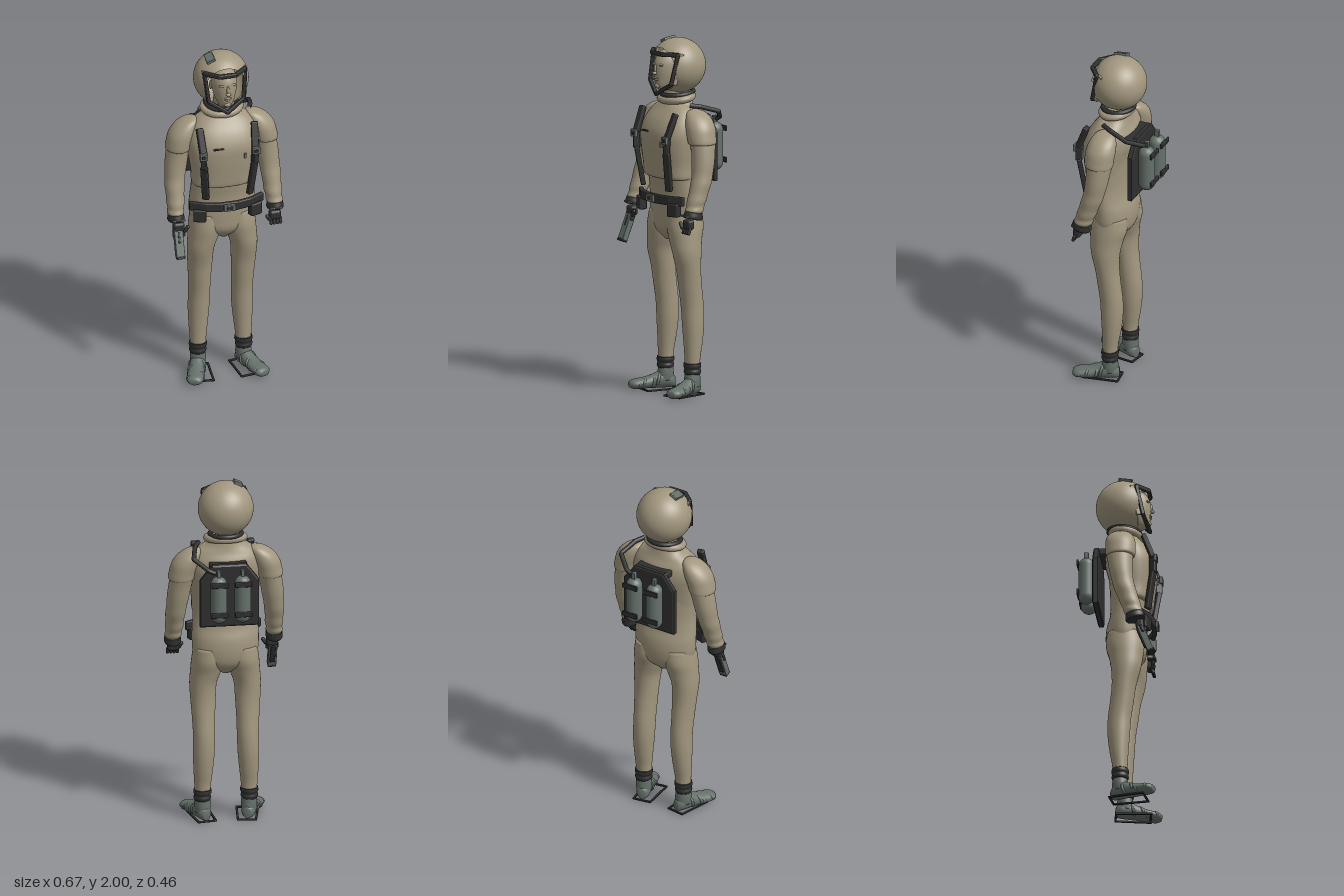
import * as THREE from 'three';
import { RoundedBoxGeometry } from 'three/addons/geometries/RoundedBoxGeometry.js';

const mat = (name, color) => Object.assign(new THREE.MeshStandardMaterial({ color }), { name });
const V = (x, y, z) => new THREE.Vector3(x, y, z);

// Smooth tube through rings [y, centreX, centreZ, radiusX, radiusZ]; power < 1 squares the outline
function loft(rings, { sides = 32, per = 5, power = 1 } = {}) {
  const mid = new THREE.CatmullRomCurve3(rings.map(r => V(r[1], r[0], r[2])), false, 'catmullrom');
  const rad = new THREE.CatmullRomCurve3(rings.map(r => V(r[3], r[4], 0)), false, 'catmullrom');
  const n = (rings.length - 1) * per, pos = [], idx = [];
  const bend = v => Math.sign(v) * Math.abs(v) ** power;
  for (let i = 0; i <= n; i++) {
    const c = mid.getPoint(i / n), r = rad.getPoint(i / n);
    for (let j = 0; j < sides; j++) {
      const a = j / sides * Math.PI * 2;
      pos.push(c.x + r.x * bend(Math.cos(a)), c.y, c.z + r.y * bend(Math.sin(a)));
    }
  }
  for (let i = 0; i < n; i++) for (let j = 0; j < sides; j++) {
    const k = (j + 1) % sides, a = i * sides + j, b = i * sides + k;
    idx.push(a, a + sides, b, b, a + sides, b + sides);
  }
  // end caps
  const low = mid.getPoint(0), high = mid.getPoint(1), m = (n + 1) * sides;
  pos.push(low.x, low.y, low.z, high.x, high.y, high.z);
  for (let j = 0; j < sides; j++) {
    const k = (j + 1) % sides;
    idx.push(m, j, k, m + 1, n * sides + k, n * sides + j);
  }
  const g = new THREE.BufferGeometry();
  g.setAttribute('position', new THREE.Float32BufferAttribute(pos, 3));
  g.setIndex(idx);
  g.computeVertexNormals();
  return g;
}

export function createModel() {
  const root = new THREE.Group();
  const suit = mat('suitBeige', 0xa2977f), dark = mat('gearBlack', 0x2f2f2f), grey = mat('metalGreyGreen', 0x65706a);
  const shell = mat('helmetBeige', 0xa2977f);
  shell.side = THREE.DoubleSide;

  const add = (name, geo, m, x = 0, y = 0, z = 0, parent = root) => {
    const mesh = new THREE.Mesh(geo, m);
    mesh.name = name;
    mesh.position.set(x, y, z);
    parent.add(mesh);
    return mesh;
  };
  const box = (w, h, d, r = 0.004) => new RoundedBoxGeometry(w, h, d, 2, r);
  // Chain of bars along a path
  const bars = (name, m, pts, w, h, extra = 0.01) => {
    for (let i = 1; i < pts.length; i++) {
      const a = V(...pts[i - 1]), b = V(...pts[i]);
      const c = a.clone().add(b).multiplyScalar(0.5);
      add(name, box(w, h, a.distanceTo(b) + extra, Math.min(w, h) * 0.25), m, c.x, c.y, c.z).lookAt(b);
    }
  };

  // Body
  add('torso', loft([[0.87, 0, 0.045, 0.03, 0.05], [0.93, 0, 0.038, 0.15, 0.1], [1, 0, 0.033, 0.183, 0.113],
    [1.08, 0, 0.035, 0.188, 0.113], [1.15, 0, 0.045, 0.185, 0.105], [1.22, 0, 0.053, 0.18, 0.108],
    [1.3, 0, 0.058, 0.185, 0.115], [1.4, 0, 0.062, 0.2, 0.126], [1.48, 0, 0.052, 0.215, 0.134],
    [1.55, 0, 0.04, 0.205, 0.12], [1.6, 0, 0.03, 0.17, 0.09], [1.64, 0, 0.02, 0.105, 0.07], [1.7, 0, 0.02, 0.07, 0.06]]), suit);
  add('chestVest', loft([[1.225, 0, 0.08, 0.165, 0.08], [1.235, 0, 0.075, 0.183, 0.105], [1.3, 0, 0.072, 0.186, 0.117],
    [1.4, 0, 0.07, 0.2, 0.13], [1.48, 0, 0.062, 0.205, 0.138], [1.55, 0, 0.05, 0.19, 0.122],
    [1.61, 0, 0.04, 0.15, 0.088], [1.65, 0, 0.03, 0.08, 0.07]], { power: 0.85 }), suit);
  add('chestSlot', box(0.06, 0.008, 0.012, 0.002), dark, -0.06, 1.485, 0.197);
  add('chestTag', box(0.014, 0.03, 0.016, 0.002), grey, 0.092, 1.425, 0.194);

  // Helmet shell with face opening
  const helmet = add('helmetShell', new THREE.SphereGeometry(0.155, 48, 32, 0, Math.PI * 2, 0.88, Math.PI - 0.88), shell, 0, 1.845, 0.018);
  helmet.rotation.x = Math.PI / 2 + 0.12;
  const lamp = add('helmetLamp', box(0.05, 0.02, 0.075), grey, -0.07, 1.983, 0.037);
  lamp.rotation.set(0.15, 0, 0.4);

  // Visor frame: black bars with a beige backing
  const post = [[0.118, 1.925, 0.1], [0.102, 1.76, 0.135], [0, 1.695, 0.165]];
  const brow = [[-0.118, 1.925, 0.1], [-0.045, 1.925, 0.162], [0.045, 1.925, 0.162], [0.118, 1.925, 0.1]];
  bars('visorBrow', dark, brow, 0.022, 0.024);
  for (const s of [1, -1]) {
    bars('visorSide', dark, post.map(p => [p[0] * s, p[1], p[2]]), 0.02, 0.022);
    bars('visorBacking', suit, post.slice(0, 2).map(p => [p[0] * s, p[1], p[2] - 0.022]), 0.014, 0.03);
  }

  // Head
  add('head', loft([[1.715, 0, 0.1, 0.025, 0.04], [1.735, 0, 0.1, 0.042, 0.062], [1.78, 0, 0.09, 0.06, 0.079],
    [1.83, 0, 0.085, 0.07, 0.086], [1.88, 0, 0.075, 0.07, 0.09], [1.925, 0, 0.065, 0.052, 0.072], [1.945, 0, 0.06, 0.02, 0.03]]), suit);
  add('neck', new THREE.CylinderGeometry(0.05, 0.055, 0.14, 24), suit, 0, 1.69, 0.05);
  const ball = new THREE.SphereGeometry(1, 16, 12);
  const blob = (name, m, p, r) => add(name, ball, m, ...p).scale.set(...r);
  blob('noseBridge', suit, [0, 1.835, 0.168], [0.009, 0.03, 0.012]);
  blob('noseTip', suit, [0, 1.815, 0.176], [0.014, 0.01, 0.014]);
  blob('upperLip', suit, [0, 1.786, 0.168], [0.022, 0.006, 0.008]);
  blob('lowerLip', suit, [0, 1.776, 0.166], [0.019, 0.007, 0.008]);
  blob('chin', suit, [0, 1.743, 0.158], [0.02, 0.016, 0.014]);
  for (const s of [1, -1]) {
    blob('browRidge', suit, [0.028 * s, 1.862, 0.155], [0.022, 0.007, 0.01]);
    blob('eye', suit, [0.028 * s, 1.842, 0.152], [0.014, 0.007, 0.008]);
    blob('ear', suit, [0.072 * s, 1.83, 0.065], [0.008, 0.028, 0.016]);
  }

  // Collar
  const collar = add('collarRoll', new THREE.TorusGeometry(0.1, 0.02, 14, 40), suit, 0, 1.668, 0.03);
  collar.rotation.x = Math.PI / 2 + 0.15;
  collar.scale.set(1.03, 0.85, 1);
  const seal = add('collarSeal', new THREE.TorusGeometry(0.088, 0.013, 12, 40), dark, 0, 1.692, 0.022);
  seal.rotation.x = Math.PI / 2 + 0.1;

  for (const s of [1, -1]) {
    const side = rings => rings.map(r => [r[0], r[1] * s, ...r.slice(2)]);
    // Legs
    add('leg', loft(side([[0.15, 0.13, 0.012, 0.043, 0.04], [0.22, 0.13, 0.01, 0.047, 0.044], [0.3, 0.128, 0.005, 0.054, 0.053],
      [0.4, 0.125, 0.003, 0.06, 0.062], [0.5, 0.123, 0.007, 0.061, 0.065], [0.6, 0.124, 0.02, 0.064, 0.066],
      [0.7, 0.125, 0.032, 0.07, 0.068], [0.8, 0.124, 0.043, 0.076, 0.082], [0.88, 0.108, 0.042, 0.087, 0.094],
      [0.95, 0.097, 0.036, 0.092, 0.106], [1.03, 0.088, 0.033, 0.09, 0.1]])), suit);
    add('ankleCuff', loft(side([[0.12, 0.132, 0.012, 0.044, 0.044], [0.135, 0.132, 0.012, 0.049, 0.048], [0.15, 0.132, 0.012, 0.045, 0.045],
      [0.165, 0.131, 0.012, 0.051, 0.049], [0.183, 0.131, 0.012, 0.049, 0.047]])), dark);

    // Boots, turned outwards
    const boot = new THREE.Group();
    boot.name = 'boot';
    boot.position.set(0.128 * s, 0, 0.005);
    boot.rotation.y = 0.36 * s;
    root.add(boot);
    add('bootFoot', loft([[-0.045, 0, -0.04, 0.02, 0.03], [-0.02, 0, -0.048, 0.038, 0.042], [0.03, 0, -0.055, 0.042, 0.05],
      [0.08, 0, -0.045, 0.043, 0.04], [0.13, 0, -0.037, 0.047, 0.032], [0.19, 0, -0.032, 0.045, 0.027],
      [0.215, 0, -0.03, 0.025, 0.016]]).rotateX(Math.PI / 2), grey, 0, 0, 0, boot);
    add('bootShaft', loft([[0.05, 0, 0.01, 0.042, 0.05], [0.09, 0, 0.008, 0.045, 0.046], [0.14, 0, 0.005, 0.041, 0.04]]), grey, 0, 0, 0, boot);
    [[0.05, 0.052, 0.9], [0.09, 0.044, 0.75], [0.13, 0.037, 0.62], [0.17, 0.034, 0.55]].forEach(([z, y, flat], i) => {
      const wrap = add('bootWrap', new THREE.TorusGeometry(0.044, 0.008, 8, 28), grey, 0, y, z, boot);
      wrap.scale.y = flat;
      wrap.rotation.set(-0.25, i % 2 ? 0.2 : -0.2, 0);
    });
    // Open sole frame under the boot
    const sole = [[-0.05, -0.045], [0.05, -0.045], [0.06, 0.15], [-0.06, 0.15], [-0.05, -0.045]];
    bars('soleFrame', dark, sole.map(([x, z]) => {
      const p = V(x, 0, z).applyAxisAngle(V(0, 1, 0), 0.15 * s);
      return [p.x + 0.118 * s, 0.006, p.z + 0.006];
    }), 0.012, 0.01, 0.01);

    // Arms with creased sleeves
    add('sleeve', loft(side([[1.055, 0.285, 0.11, 0.038, 0.045], [1.075, 0.284, 0.103, 0.047, 0.054], [1.1, 0.282, 0.095, 0.045, 0.052],
      [1.13, 0.28, 0.085, 0.051, 0.056], [1.17, 0.279, 0.072, 0.051, 0.056], [1.22, 0.277, 0.055, 0.056, 0.06],
      [1.27, 0.272, 0.042, 0.057, 0.06], [1.33, 0.265, 0.032, 0.062, 0.064], [1.4, 0.255, 0.025, 0.064, 0.069],
      [1.47, 0.24, 0.02, 0.066, 0.076], [1.54, 0.215, 0.018, 0.068, 0.075], [1.6, 0.185, 0.018, 0.04, 0.045]])), suit);
    add('shoulderPad', loft(side([[1.435, 0.249, 0.026, 0.06, 0.07], [1.442, 0.249, 0.026, 0.073, 0.081], [1.48, 0.241, 0.026, 0.075, 0.084],
      [1.53, 0.225, 0.023, 0.077, 0.084], [1.575, 0.203, 0.02, 0.066, 0.073], [1.605, 0.18, 0.02, 0.045, 0.052], [1.62, 0.165, 0.02, 0.015, 0.02]])), suit);
    const cuff = add('gloveCuff', loft([[-0.02, 0, 0, 0.044, 0.053], [-0.008, 0, 0, 0.048, 0.057], [0.02, 0, 0, 0.044, 0.052]]), dark, 0.285 * s, 1.046, 0.112);
    cuff.rotation.x = -0.2;
    add('cuffStrap', box(0.074, 0.012, 0.012), grey, 0.28 * s, 1.045, 0.161);

    // Gloved hands
    add('palm', box(0.066, 0.055, 0.045, 0.015), dark, 0.277 * s, 0.997, 0.138);
    for (let i = 0; i < 4; i++) {
      const f = add('finger', new THREE.CapsuleGeometry(0.0095, 0.026, 4, 10), dark, (0.252 + i * 0.018) * s, 0.963, 0.152);
      f.rotation.x = -0.35;
    }
    const thumb = add('thumb', new THREE.CapsuleGeometry(0.011, 0.026, 4, 10), dark, 0.236 * s, 0.988, 0.158);
    thumb.rotation.z = 0.6 * s;

    // Chest straps and pouches
    bars('chestStrap', dark, [[0.158 * s, 1.6, 0.145], [0.15 * s, 1.47, 0.195], [0.146 * s, 1.38, 0.197], [0.126 * s, 1.17, 0.165]], 0.04, 0.028);
    add('strapBuckle', box(0.046, 0.042, 0.02), grey, 0.151 * s, 1.458, 0.212);
    add('strapBuckleInset', box(0.024, 0.02, 0.006, 0.002), dark, 0.151 * s, 1.458, 0.221);
    add('beltPouch', box(0.072, 0.075, 0.045, 0.008), dark, 0.158 * s, 1.062, 0.155).rotation.y = 0.35 * s;

    // Air tanks
    add('airTank', new THREE.CapsuleGeometry(0.046, 0.185, 10, 28), grey, 0.067 * s, 1.378, -0.183);
    add('tankValve', box(0.022, 0.045, 0.028), grey, 0.067 * s, 1.528, -0.183);
    for (const y of [1.478, 1.3]) {
      add('tankClamp', box(0.096, 0.03, 0.013), dark, 0.067 * s, y, -0.229);
    }
  }

  // Front belt
  bars('belt', dark, [[-0.205, 1.113, 0.125], [-0.13, 1.113, 0.168], [-0.05, 1.113, 0.187], [0.05, 1.113, 0.187],
    [0.13, 1.113, 0.168], [0.205, 1.113, 0.125]], 0.025, 0.052);
  add('beltBuckle', box(0.068, 0.04, 0.018), grey, 0, 1.113, 0.206);
  add('beltBuckleInset', box(0.036, 0.02, 0.006, 0.002), dark, 0, 1.113, 0.214);

  // Backpack plate with clipped top corners
  const plate = new THREE.Shape([[-0.155, 1.21], [0.155, 1.21], [0.155, 1.47], [0.09, 1.555], [-0.09, 1.555], [-0.155, 1.47]]
    .map(p => new THREE.Vector2(...p)));
  add('backPlate', new THREE.ExtrudeGeometry(plate, { depth: 0.024, bevelThickness: 0.006, bevelSize: 0.01, bevelSegments: 1 }), dark, 0, 0, -0.136);
  bars('packBracket', dark, [[-0.1, 1.54, -0.075], [0.1, 1.54, -0.075]], 0.08, 0.04);

  // Air hose over the left shoulder
  const hose = new THREE.CurvePath();
  const turns = [V(0.085, 1.535, -0.185), V(0.12, 1.55, -0.18), V(0.198, 1.6, -0.118), V(0.176, 1.632, -0.01), V(0.15, 1.64, 0.045)];
  for (let i = 1; i < turns.length; i++) hose.add(new THREE.LineCurve3(turns[i - 1], turns[i]));
  add('airHose', new THREE.TubeGeometry(hose, 60, 0.013, 12), dark);

  // Sidearm held in the right hand, pointing down and forward
  const gun = new THREE.Group();
  gun.name = 'sidearm';
  gun.position.set(-0.282, 0.91, 0.168);
  gun.rotation.x = -0.38;
  root.add(gun);
  add('sidearmBody', box(0.05, 0.165, 0.036), grey, 0, 0, 0, gun);
  add('sidearmSlot', box(0.012, 0.06, 0.006, 0.002), dark, 0, 0.03, 0.017, gun);
  add('sidearmMuzzle', box(0.046, 0.014, 0.042), dark, 0, -0.084, 0.002, gun);
  add('sidearmSpine', box(0.03, 0.12, 0.012), dark, 0, 0.01, -0.02, gun);
  return root;
}
